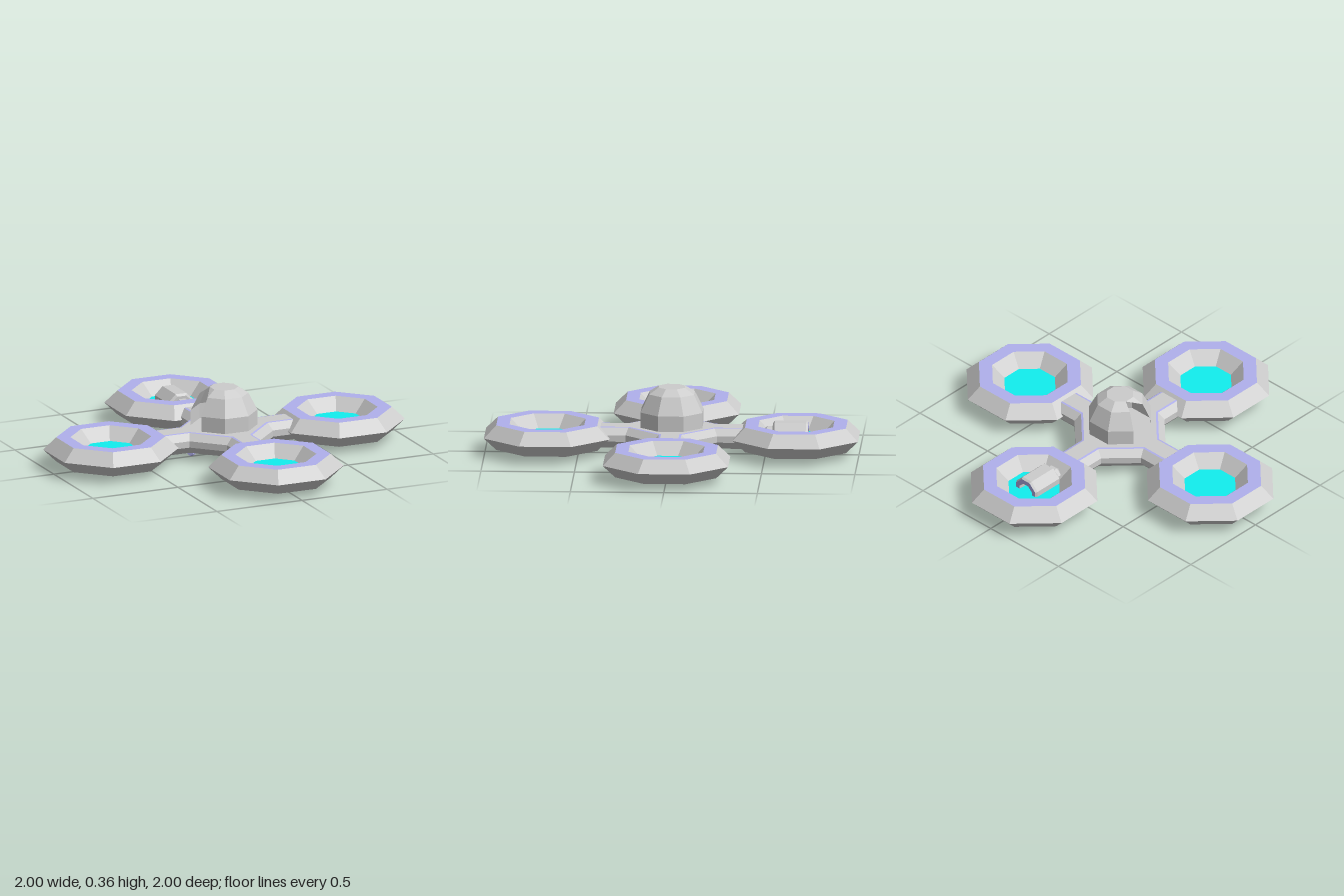
import * as THREE from 'three';

const material = (color) => new THREE.MeshStandardMaterial({ color, flatShading: true, side: THREE.DoubleSide });
const grey = material(0xcccccc), lilac = material(0xb0b0ec), cyan = material(0x11eeee);

function add(parent, name, geometry, mat) {
  const mesh = new THREE.Mesh(geometry, mat);
  mesh.name = name;
  parent.add(mesh);
  return mesh;
}

// Octagonal lathe; profile radii are measured to the flats
function octLathe(profile, segments = 8, phiStart = Math.PI / 8) {
  const points = profile.map(([r, y]) => new THREE.Vector2(r / Math.cos(Math.PI / 8), y));
  return new THREE.LatheGeometry(points, segments, phiStart, segments * Math.PI / 4);
}

function triangles(points) {
  const g = new THREE.BufferGeometry();
  g.setAttribute('position', new THREE.Float32BufferAttribute(points.flat(), 3));
  g.computeVertexNormals();
  return g;
}

// Skin a list of closed loops with quads
function loft(loops) {
  const out = [];
  for (let k = 0; k + 1 < loops.length; k++) {
    const lo = loops[k], hi = loops[k + 1];
    lo.forEach((a, i) => {
      const j = (i + 1) % lo.length;
      out.push(a, lo[j], hi[i], hi[j], hi[i], lo[j]);
    });
  }
  return triangles(out);
}

// Cross-shaped hull outline with four arms and diagonal shoulders
function hullLoop(inset, y) {
  const w = 0.095 - inset, d = 0.34 - inset * Math.SQRT2 - w, L = 0.38;
  const loop = [];
  for (let q = 0; q < 4; q++) {
    for (const [px, pz] of [[w, L], [w, d], [d, w], [L, w]]) {
      let x = px, z = pz;
      for (let i = 0; i < q; i++) [x, z] = [z, -x];
      loop.push([x, y, z]);
    }
  }
  return loop;
}

function hullCap(loop, up) {
  const shape = new THREE.Shape(loop.map(([x, , z]) => new THREE.Vector2(x, up ? -z : z)));
  return new THREE.ShapeGeometry(shape).rotateX(up ? -Math.PI / 2 : Math.PI / 2).translate(0, loop[0][1], 0);
}

function createHull() {
  const hull = new THREE.Group();
  hull.name = 'hull';
  const bottom = hullLoop(0.035, 0.04), rim = hullLoop(0.035, 0.15), top = hullLoop(0.046, 0.152);
  add(hull, 'hullSides', loft([bottom, hullLoop(0, 0.08), hullLoop(0, 0.115), rim]), grey);
  add(hull, 'hullEdgeStripe', loft([rim, top]), lilac);
  add(hull, 'hullTop', hullCap(top, true), grey);
  add(hull, 'hullBottom', hullCap(bottom, false), grey);
  return hull;
}

// Dome with one panel left open on the -x side
function createDome() {
  const dome = new THREE.Group();
  dome.name = 'dome';
  const start = 1.5 * Math.PI + Math.PI / 8;
  add(dome, 'domeShell', octLathe([[0.165, 0.15], [0.165, 0.235], [0.12, 0.33], [0.07, 0.364]], 7, start), grey);
  add(dome, 'domeCap', octLathe([[0.07, 0.364], [0, 0.364]]), grey);
  add(dome, 'brokenPanel', triangles([[-0.12, 0.33, 0.05], [-0.07, 0.364, 0.029], [-0.07, 0.364, -0.029]]), grey);
  return dome;
}

// Hexagonal-section ring around a bright disc
function createRotor() {
  const rotor = new THREE.Group();
  rotor.name = 'rotor';
  const lo = 0.033, mid = 0.1, hi = 0.167;
  add(rotor, 'ringOuter', octLathe([[0.27, lo], [0.335, mid], [0.27, hi]]), grey);
  add(rotor, 'ringTop', octLathe([[0.27, hi], [0.2, hi]]), lilac);
  add(rotor, 'ringInner', octLathe([[0.2, hi], [0.135, mid], [0.2, lo]]), grey);
  add(rotor, 'ringBottom', octLathe([[0.2, lo], [0.27, lo]]), lilac);
  add(rotor, 'disc', octLathe([[0.135, mid], [0, mid]]), cyan);
  return rotor;
}

// Thruster lying along z: nose toward the hull, hollow outlet to the back
function createThruster() {
  const thruster = new THREE.Group();
  thruster.name = 'thruster';
  const parts = [
    ['thrusterCasing', [[0.07, -0.1], [0.077, -0.088], [0.077, 0.08], [0.065, 0.09], [0.05, 0.09]], grey],
    ['thrusterNose', [[0.05, 0.09], [0.05, 0.12], [0.03, 0.145], [0, 0.145]], grey],
    ['thrusterRim', [[0.045, -0.1], [0.07, -0.1]], lilac],
    ['thrusterOutlet', [[0, -0.03], [0.04, -0.03], [0.045, -0.1]], grey],
  ];
  for (const [name, profile, mat] of parts) add(thruster, name, octLathe(profile), mat);
  thruster.rotation.x = Math.PI / 2;
  thruster.position.set(0, 0.1, -0.63);
  return thruster;
}

// Belly: two skids and a hatch, turned diagonally
function createBelly() {
  const belly = new THREE.Group();
  belly.name = 'belly';
  for (const side of [-1, 1]) {
    const skid = add(belly, 'skid', new THREE.CylinderGeometry(0.025, 0.025, 0.27, 6), grey);
    skid.rotation.x = Math.PI / 2;
    skid.position.set(side * 0.135, 0.025, 0);
    for (const end of [-1, 1]) {
      const tip = add(belly, 'skidTip', new THREE.CylinderGeometry(0.018, 0.025, 0.02, 6), lilac);
      tip.rotation.x = end * Math.PI / 2;
      tip.position.set(side * 0.135, 0.025, end * 0.145);
    }
  }
  const hatch = add(belly, 'hatch', octLathe([[0, 0.008], [0.8, 0.008], [1, 0.045]]), grey);
  hatch.scale.set(0.08, 1, 0.12);
  belly.rotation.y = -Math.PI / 4 + Math.PI;
  return belly;
}

export function createModel() {
  const model = new THREE.Group();
  model.name = 'quadDrone';
  model.add(createHull(), createDome(), createBelly(), createThruster());
  for (const [x, z] of [[1, 0], [-1, 0], [0, 1], [0, -1]]) {
    const rotor = createRotor();
    rotor.position.set(x * 0.665, 0, z * 0.665);
    model.add(rotor);
  }
  return model;
}
